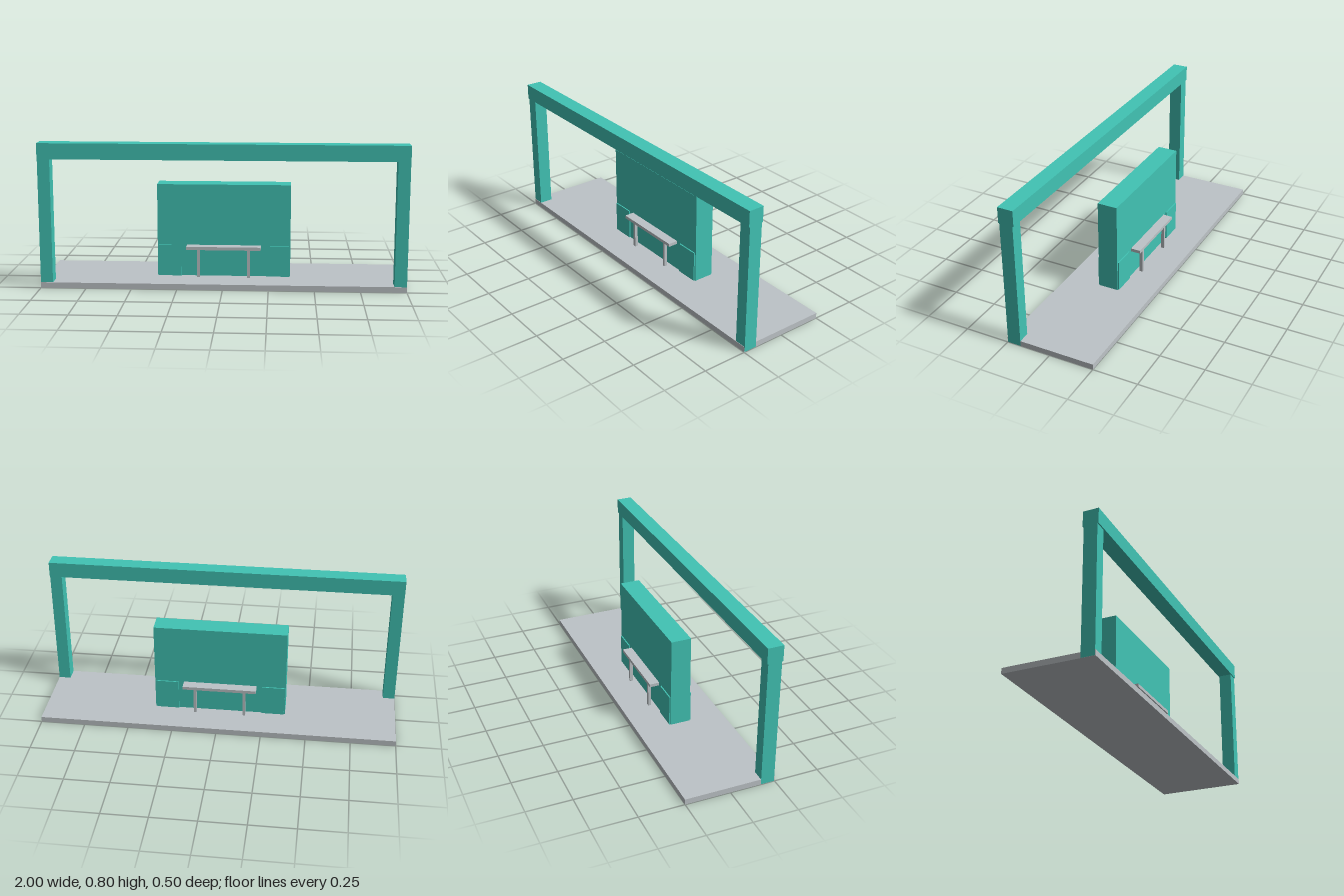
import * as THREE from 'three';

export function createModel() {
  const model = new THREE.Group();
  model.name = 'platformShelter';

  const teal = new THREE.MeshStandardMaterial({ color: 0x41c3b4 });
  teal.name = 'teal paint';
  const grey = new THREE.MeshStandardMaterial({ color: 0xbdc3c7 });
  grey.name = 'light grey';

  // Box given by its lower and upper limits on each axis
  function box(name, material, [x0, x1], [y0, y1], [z0, z1], parent = model) {
    const mesh = new THREE.Mesh(new THREE.BoxGeometry(x1 - x0, y1 - y0, z1 - z0), material);
    mesh.name = name;
    mesh.position.set((x0 + x1) / 2, (y0 + y1) / 2, (z0 + z1) / 2);
    parent.add(mesh);
    return mesh;
  }

  // Ground slab
  box('floorSlab', grey, [-0.9995, 0.9995], [0, 0.031], [-0.251, 0.249]);

  // Front gateway: two posts and a slightly deeper beam
  box('rightPost', teal, [-1, -0.933], [0.001, 0.715], [0.172, 0.247]);
  box('leftPost', teal, [0.933, 1], [0.001, 0.715], [0.172, 0.247]);
  box('topBeam', teal, [-1, 1], [0.715, 0.802], [0.166, 0.253]);

  // Central wall
  box('centreWall', teal, [-0.374, 0.37], [0.002, 0.551], [-0.058, 0.055]);

  // Thin panels and a bench on each face of the wall
  for (const side of [1, -1]) {
    const face = side > 0 ? 'front' : 'back';
    const zRange = (a, b) => [a * side - 0.0015, b * side - 0.0015].sort((p, q) => p - q);

    box(face + 'RightPanel', teal, [-0.368, -0.24], [0.031, 0.206], zRange(0.056, 0.0635));
    box(face + 'LeftPanel', teal, [0.235, 0.363], [0.031, 0.206], zRange(0.056, 0.0635));

    const bench = new THREE.Group();
    bench.name = face + 'Bench';
    box('benchSeat', grey, [-0.209, 0.205], [0.19, 0.208], zRange(0.056, 0.112), bench);
    for (const x of [-0.142, 0.137]) {
      box('benchLeg', grey, [x - 0.008, x + 0.008], [0.031, 0.19], zRange(0.08, 0.098), bench);
    }
    model.add(bench);
  }

  return model;
}
